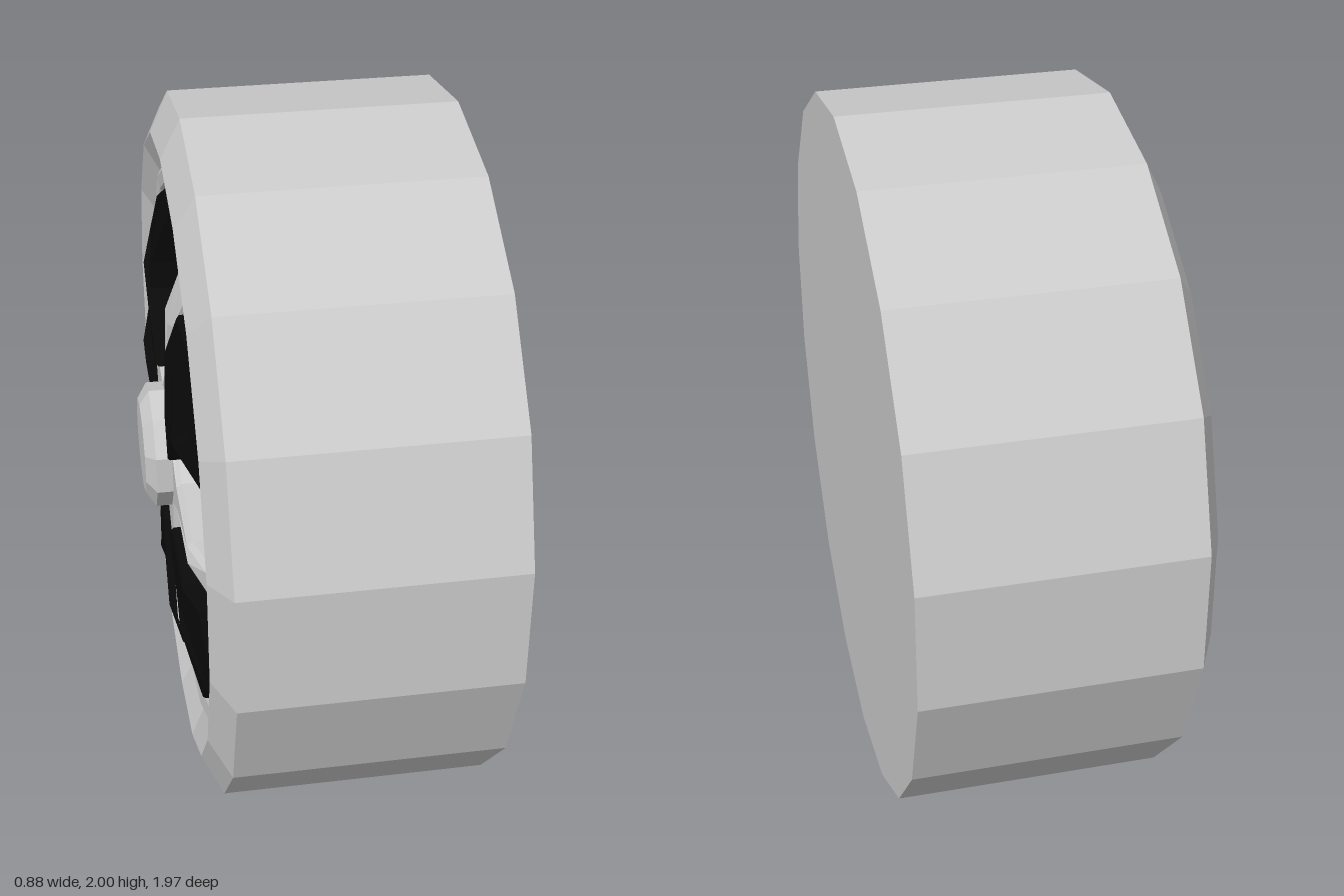
import * as THREE from 'three';

const grey = new THREE.MeshStandardMaterial({ color: 0xcccccc, flatShading: true });
const black = new THREE.MeshStandardMaterial({ color: 0x0a0a0a, flatShading: true });
const rad = THREE.MathUtils.degToRad;

// Solid of revolution about local z; profile is [radius, z], from back to front
function turned(name, profile, sides) {
  const g = new THREE.LatheGeometry(profile.map(([r, z]) => new THREE.Vector2(r, z)), sides);
  g.rotateX(Math.PI / 2);
  const m = new THREE.Mesh(g, grey);
  m.name = name;
  return m;
}

// Bevelled plate from z0 to z1 that drops back towards the rim
function plate(name, points, z0, z1, bevel, material) {
  const shape = new THREE.Shape(points.map(([x, y]) => new THREE.Vector2(x, y)));
  const g = new THREE.ExtrudeGeometry(shape, {
    depth: z1 - z0 - bevel, bevelEnabled: true, bevelSegments: 1,
    bevelSize: bevel, bevelThickness: bevel, bevelOffset: -bevel,
  });
  g.translate(0, 0, z0);
  const p = g.attributes.position;
  for (let i = 0; i < p.count; i++) {
    const r = Math.hypot(p.getX(i), p.getY(i));
    p.setZ(i, p.getZ(i) - 0.28 * Math.max(0, r - 0.54));
  }
  g.computeVertexNormals();
  const m = new THREE.Mesh(g, material);
  m.name = name;
  return m;
}

// Point at an angle clockwise from up
const polar = (deg, r) => [r * Math.sin(rad(deg)), r * Math.cos(rad(deg))];

export function createModel() {
  const wheel = new THREE.Group();
  wheel.name = 'wheel';

  // Tyre with closed back, chamfered shoulder, dished side wall and rim barrel
  wheel.add(turned('tyreAndRim', [
    [0, -0.44], [1, -0.44], [1, 0.3], [0.89, 0.355], [0.81, 0.315],
    [0.79, 0.325], [0.755, 0.32], [0.72, 0.28], [0.69, 0.18], [0, 0.18],
  ], 18));

  // Brake disc, axle stub and spoke centre
  wheel.add(turned('brakeDisc', [[0.28, 0.17], [0.28, 0.225], [0, 0.225]], 18));
  wheel.add(turned('spokeCentre', [[0.12, 0.2], [0.12, 0.27], [0.18, 0.27], [0.18, 0.362], [0, 0.37]], 10));

  // Hub cap, a touch off centre
  const cap = turned('hubCap', [[0.15, 0.35], [0.178, 0.37], [0.178, 0.415], [0.135, 0.443], [0, 0.443]], 10);
  cap.position.set(0.008, 0.012, 0);
  wheel.add(cap);

  // Five spokes, each followed by a dark blade and a wheel nut
  const half = [[0.14, 0.1], [0.05, 0.28], [0.042, 0.54], [0.045, 0.66], [0.1, 0.745]];
  const spokeOutline = [...half, ...half.map(([x, y]) => [-x, y]).reverse()];
  const bladeOutline = [
    polar(23, 0.28), polar(12, 0.54), polar(9, 0.66), polar(22, 0.72), polar(36, 0.735),
    polar(50, 0.73), polar(41, 0.54), polar(38, 0.46), polar(49, 0.25),
  ];
  for (let i = 0; i < 5; i++) {
    const sector = new THREE.Group();
    sector.name = 'spokeSector';
    sector.rotation.z = -rad(18 + 72 * i);
    sector.add(plate('spoke', spokeOutline, 0.26, 0.37, 0.015, grey));
    sector.add(plate('blade', bladeOutline, 0.29, 0.387, 0.006, black));
    const nut = turned('wheelNut', [[0.025, 0.2], [0.025, 0.28], [0, 0.29]], 6);
    nut.position.set(...polar(36, 0.21), 0);
    sector.add(nut);
    wheel.add(sector);
  }

  // Wheel face points to -x
  wheel.rotation.y = -Math.PI / 2;
  wheel.position.y = 1;
  const model = new THREE.Group();
  model.add(wheel);
  return model;
}
